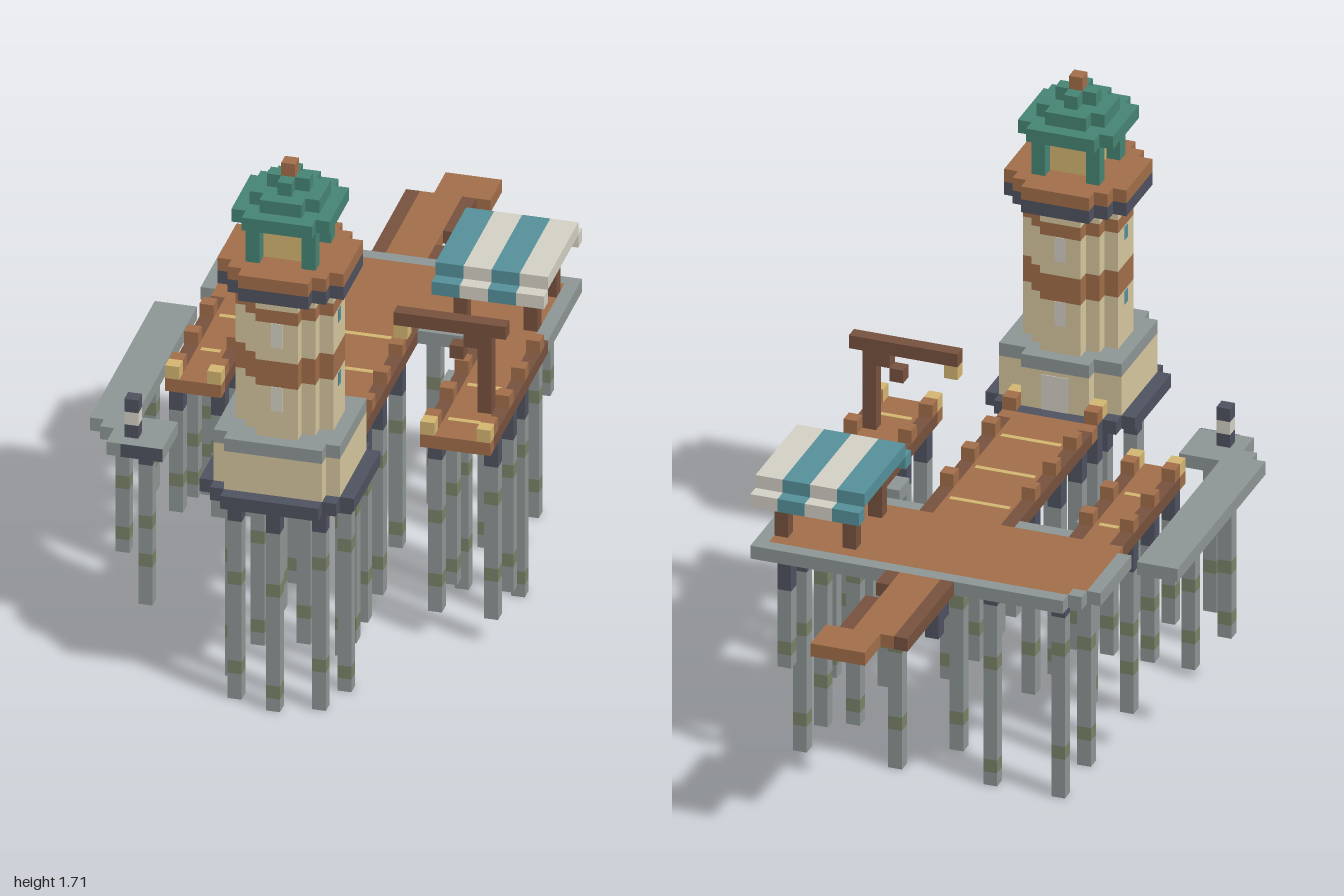
import * as THREE from 'three';

const U = 1 / 24; // one block
const mat = (name, color) => Object.assign(new THREE.MeshStandardMaterial({ color }), { name });

export function createModel() {
  const sand = mat('sand plaster', 0xd6c69e), wood = mat('wood', 0xa26e4a), dark = mat('dark wood', 0x77523e);
  const slate = mat('slate', 0x4f5260), stone = mat('grey stone', 0x8d9694), teal = mat('teal cloth', 0x55909a);
  const green = mat('green roof', 0x468473), lamp = mat('lamp yellow', 0xd3b571), cream = mat('cream', 0xd3d0c4);
  const moss = mat('moss', 0x7a8369);
  const root = new THREE.Group();
  root.name = 'pierLighthouse';

  // box from corner to corner, in blocks
  function box(name, m, x0, x1, y0, y1, z0, z1) {
    const mesh = new THREE.Mesh(new THREE.BoxGeometry((x1 - x0) * U, (y1 - y0) * U, (z1 - z0) * U), m);
    mesh.position.set((x0 + x1) / 2 * U, (y0 + y1) / 2 * U, (z0 + z1) / 2 * U);
    mesh.name = name;
    root.add(mesh);
  }
  const cube = (name, m, x, y, z) => box(name, m, x, x + 1, y, y + 1, z, z + 1);

  // stepped round layer about the tower axis; rows = half widths from back to front
  const CX = 1.5, CZ = 18.5;
  function layer(name, m, rows, y0, y1) {
    const r = rows.length / 2;
    for (let a = 0, b; a < rows.length; a = b) {
      for (b = a; b < rows.length && rows[b] === rows[a];) b++;
      const h = rows[a] + 0.5;
      box(name, m, CX - h, CX + h, y0, y1, CZ - r + a, CZ - r + b);
    }
  }

  // --- lighthouse ---
  const wide = [2, 3, 4, 4, 4, 4, 4, 3, 2], shaft = [1, 2, 3, 3, 3, 2, 1], base = [2, 4, 4, 4, 4, 4, 4, 4, 3];
  layer('towerFoundation', slate, [3, 4, 5, 5, 5, 5, 5, 5, 5, 4, 3], 16, 17);
  layer('towerBase', sand, base, 17, 20);
  layer('towerLedge', stone, base, 20, 21);
  [[sand, 21, 25], [wood, 25, 27], [sand, 27, 30], [wood, 30, 31], [sand, 31, 32]]
    .forEach(([m, a, b]) => layer('towerShaft', m, shaft, a, b));
  layer('balconyUnderside', slate, wide, 32, 33);
  layer('balcony', wood, wide, 33, 34);
  box('lanternCore', lamp, 0, 3, 34, 36, 17, 20);
  for (const s of [-0.05, 3]) box('lanternGlass', cream, s, s + 0.05, 34, 36, 18, 19);
  for (const x of [-1, 3]) for (const z of [16, 20]) box('lanternPost', green, x, x + 1, 34, 37, z, z + 1);
  layer('roofEaves', green, [2, 3, 3, 3, 3, 3, 2], 37, 38);
  layer('roofMiddle', green, [1, 2, 2, 2, 1], 38, 39);
  layer('roofTop', green, [0, 1, 0], 39, 40);
  cube('finial', wood, 1, 40, 18);
  for (const y of [23, 28]) {
    for (const z of [14.95, 22]) box('towerWindow', cream, 1.1, 1.9, y + 0.1, y + 2, z, z + 0.05);
    for (const x of [-2.05, 5]) box('sideWindow', teal, x, x + 0.05, y + 0.9, y + 1.9, 18.2, 18.8);
  }
  box('door', cream, 0.5, 2.5, 17, 19.7, 13.95, 14);
  for (const x of [-2, 4]) cube('doorLamp', lamp, x, 17, 14);

  // --- main deck with stone border ---
  box('deck', wood, -10, 13, 16, 17, -10, -3);
  box('deckBackBoards', wood, -9, 13, 16, 17, -11, -10);
  box('deckCorner', stone, -10, -9, 16, 17, -11, -10);
  box('borderBack', stone, -9, 14, 16, 17, -12, -11);
  box('borderLeft', stone, -11, -10, 16, 17, -10, -4);
  box('borderRight', stone, 13, 14, 16, 17, -11, -3);
  box('borderFront', stone, -6, -2, 16, 17, -3, -2);
  box('borderFront', stone, 5, 9, 16, 17, -3, -2);

  // --- piers: planks, dark edge beams, bollards, inlaid strips ---
  function pier(x0, x1, z0, z1, bollards, strips) {
    box('pierPlanks', wood, x0 + 1, x1 - 1, 16, 17, z0, z1);
    for (const x of [x0, x1 - 1]) {
      box('pierEdge', dark, x, x + 1, 16, 17, z0, z1 - 1);
      box('pierEnd', wood, x, x + 1, 16, 17, z1 - 1, z1);
      bollards.forEach(z => cube('bollard', wood, x, 17, z));
    }
    strips.forEach(z => box('inlay', lamp, x0 + 1.3, x1 - 1.3, 17, 17.03, z, z + 0.4));
  }
  pier(-2, 5, -3, 13, [1, 5, 9, 13], [-0.7, 4.2, 9.2]);
  pier(-10, -6, -3, 9, [-1, 3, 7], [-0.7, 4.2]);
  pier(9, 14, -3, 12, [-2, 2, 6, 10], [4.2, 9.2]);
  for (const x of [-10, -7]) cube('pierLamp', lamp, x, 17, 8);
  for (const x of [9, 13]) cube('pierLamp', lamp, x, 17, 11);
  for (const x of [-6, 8]) box('landingStep', stone, x, x + 1, 15, 16, 1, 3);

  // --- rear jetty ---
  box('jettyEdge', dark, -1, 0, 16, 17, -21, -12);
  box('jetty', wood, 0, 3, 16, 17, -21, -12);
  box('jettyEdge', dark, 3, 4, 16, 17, -14, -12);
  box('jettyEdge', dark, 3, 4, 16, 17, -21, -16);
  box('jettyTip', wood, 1, 5, 16, 17, -24, -21);
  box('jettyBrace', slate, -1, 0, 15, 16, -15, -13);
  cube('jettyBrace', slate, -1, 14, -15);

  // --- low stone walkway with beacon ---
  box('walkway', stone, -14, -11, 15, 16, -3, 13);
  box('walkwayCorner', stone, -14, -13, 15, 16, 13, 14);
  box('walkwayEnd', stone, -13, -11, 15, 16, 13, 15);
  box('walkwayHead', stone, -11, -8, 15, 16, 13, 17);
  box('walkwayHead', stone, -12, -11, 15, 16, 15, 17);
  box('walkwayFender', slate, -11, -8, 15, 16, 17, 17.05);
  [slate, cream, slate].forEach((m, i) => cube('beacon', m, -11, 16 + i, 15));

  // --- market awning ---
  for (let i = 0; i < 4; i++) {
    const m = i % 2 ? cream : teal, x = 6 + 2 * i;
    box('awningTop', m, x, x + 2, 21, 22, -11, -3);
    box('awningFlap', m, x, x + 2, 20, 21, -3, -2);
    box('awningFlap', m, x, x + 2, 20, 21, -12, -11);
  }
  for (const x of [7, 12]) for (const z of [-10, -5]) box('awningPost', dark, x, x + 1, 17, 21, z, z + 1);
  box('awningLamp', lamp, 10, 11, 20, 21, -8, -6);

  // --- crane ---
  box('cranePost', dark, 12, 13, 17, 23, 7, 8);
  box('craneBeam', dark, 6, 14, 23, 24, 7, 8);
  cube('craneBrace', dark, 11, 22, 7);
  cube('craneHook', dark, 10, 21, 7);
  cube('craneLamp', lamp, 6, 22, 7);

  // --- piles: slate cap, stone shaft with mossy bands; [x, z, foot] ---
  function pile(x, z, foot, i, top = 16) {
    const part = (n, m, a, b) => box(n, m, x, x + 1, a, b, z, z + 1);
    const low = foot + 1 + i % 3, high = 9 + (i * 2) % 4;
    part('pileCap', slate, 14, top);
    part('pile', stone, foot, low);
    part('pileMoss', moss, low, low + 1);
    if (high > low + 1) {
      part('pile', stone, low + 1, high);
      part('pileMoss', moss, high, high + 1);
      part('pile', stone, high + 1, 14);
    } else part('pile', stone, low + 1, 14);
  }
  [[1, 22, 0], [1, 14, 1], [-3, 18, 0], [5, 18, 0], [-2, 21, 0], [4, 21, 0], [-2, 15, 1], [4, 15, 1],
    [-2, 13, 1], [4, 13, 1], [-2, 10, 1], [4, 10, 1], [-2, 6, 1], [4, 6, 1], [-2, 1, 2], [4, 1, 2],
    [-10, 7, 6], [-7, 7, 6], [-10, 3, 5], [-7, 3, 5], [-10, -1, 3], [-7, -1, 3],
    [9, 9, 2], [13, 9, 2], [9, 5, 2], [13, 5, 2], [9, 2, 0], [13, 2, 0],
    [-8, -4, 0], [-8, -9, 0], [-3, -9, 0], [1, -5, 0], [4, -9, 0], [9, -4, 0],
    [11, -9, 0], [11, -5, 0], [11, -12, 8]].forEach(([x, z, f], i) => pile(x, z, f, i));
  [[-13, 10, 4], [-13, 3, 5], [-10, 15, 3]].forEach(([x, z, f], i) => pile(x, z, f, i, 15));

  return root;
}
